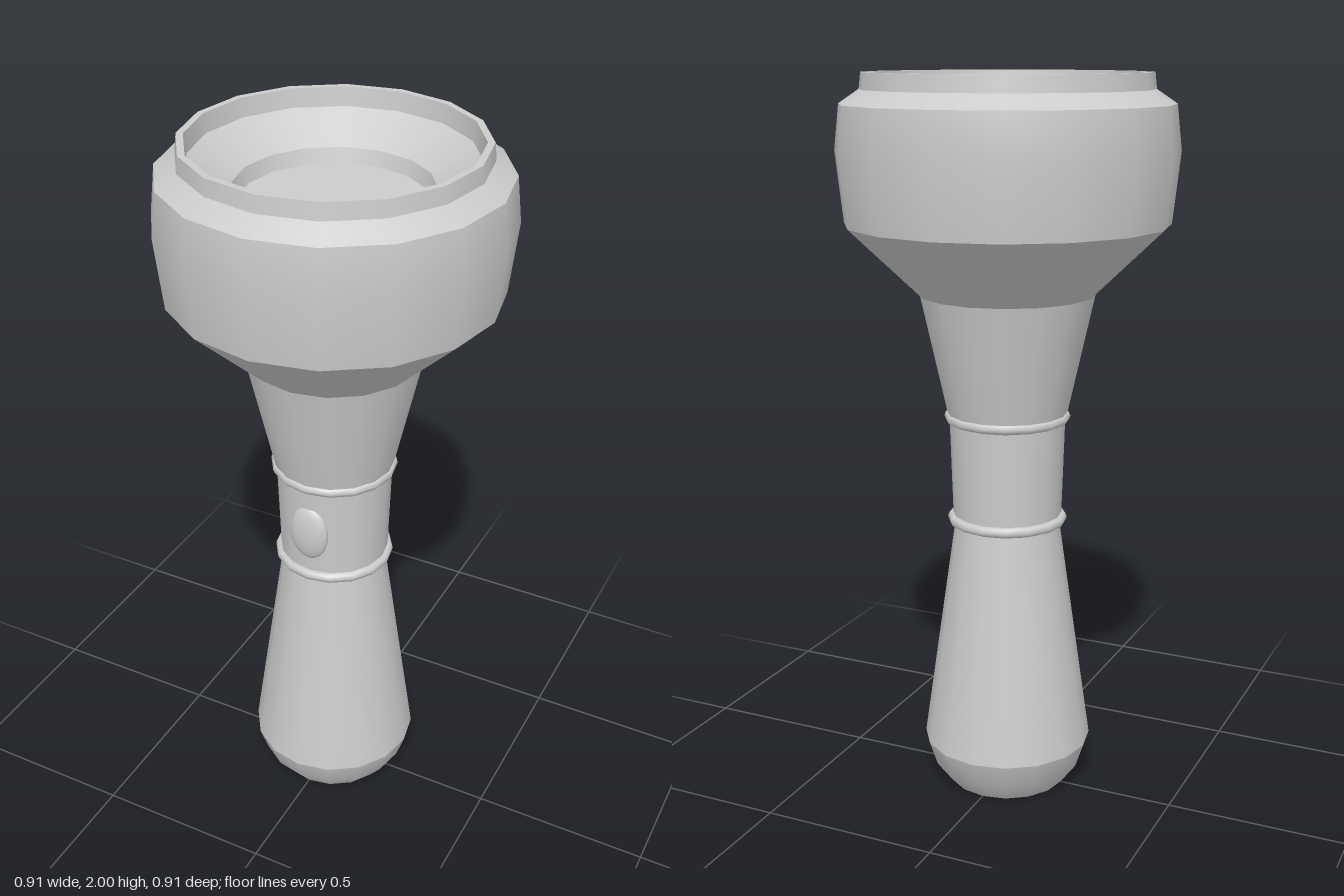
import * as THREE from 'three';

const SIDES = 16;
const material = new THREE.MeshStandardMaterial({ color: 0xcccccc, side: THREE.DoubleSide });

function add(parent, name, geometry) {
  const mesh = new THREE.Mesh(geometry, material);
  mesh.name = name;
  parent.add(mesh);
  return mesh;
}

// Each profile is one smooth band; separate profiles meet at sharp edges.
function addBands(parent, name, profiles) {
  const part = new THREE.Group();
  part.name = name;
  parent.add(part);
  profiles.forEach((profile, i) => {
    const points = profile.map(([r, y]) => new THREE.Vector2(r, y));
    add(part, name + 'Band' + (i + 1), new THREE.LatheGeometry(points, SIDES));
  });
}

export function createModel() {
  const group = new THREE.Group();
  group.name = 'flashlight';

  // Handle with a rounded base
  addBands(group, 'handle', [
    [[0, 0], [0.17, 0]],
    [[0.17, 0], [0.215, 0.06], [0.238, 0.13]],
    [[0.238, 0.13], [0.145, 0.785]],
  ]);

  // Straight grip holding the switch
  addBands(group, 'switchCollar', [[[0.151, 0.785], [0.16, 1.08]]]);

  // Flared neck
  addBands(group, 'neck', [[[0.163, 1.08], [0.238, 1.42]]]);

  // Lamp head
  addBands(group, 'head', [
    [[0.238, 1.42], [0.437, 1.61]],
    [[0.437, 1.61], [0.457, 1.8], [0.443, 1.92]],
    [[0.443, 1.92], [0.388, 1.957]],
  ]);

  // Rim around the opening
  addBands(group, 'rim', [
    [[0.388, 1.957], [0.383, 2]],
    [[0.383, 2], [0.365, 2]],
    [[0.365, 2], [0.359, 1.95]],
  ]);

  // Dished reflector and flat lens
  addBands(group, 'reflector', [
    [[0.359, 1.95], [0.252, 1.88]],
    [[0.252, 1.88], [0.241, 1.84]],
  ]);
  addBands(group, 'lens', [[[0.241, 1.84], [0, 1.84]]]);

  // Trim rings above and below the grip
  for (const [name, radius, y] of [['lowerRing', 0.152, 0.79], ['upperRing', 0.159, 1.082]]) {
    const ring = add(group, name, new THREE.TorusGeometry(radius, 0.015, 8, SIDES));
    ring.rotation.x = Math.PI / 2;
    ring.position.y = y;
  }

  // Oval push button
  const button = add(group, 'button', new THREE.SphereGeometry(1, 24, 16));
  button.scale.set(0.057, 0.084, 0.024);
  button.position.set(0, 0.932, 0.15);

  return group;
}
